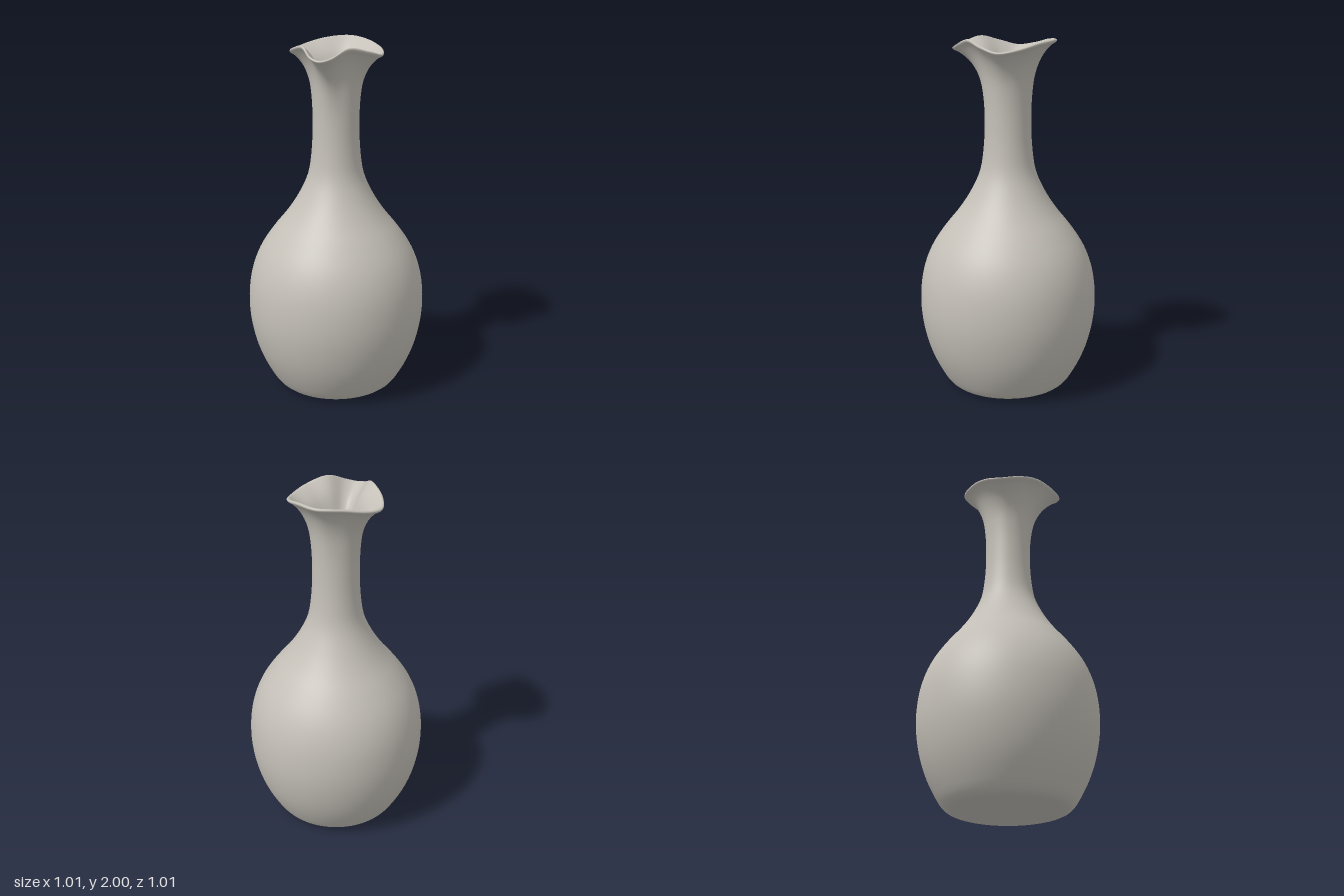
import * as THREE from 'three';
import { mergeVertices } from 'three/addons/utils/BufferGeometryUtils.js';

const SEGMENTS = 98;
const ROWS = 150;
const RIM_RADIUS = 0.26;

// Closed wall profile [radius, y]: underside, outer wall, lip, inner wall, inner floor
const PROFILE = [
  [0, 0], [0.15, 0], [0.29, 0], [0.345, 0.02], [0.4, 0.1], [0.455, 0.22], [0.49, 0.35], [0.505, 0.48],
  [0.498, 0.62], [0.473, 0.73], [0.43, 0.83], [0.36, 0.935], [0.28, 1.035], [0.212, 1.14],
  [0.158, 1.26], [0.136, 1.4], [0.13, 1.55], [0.134, 1.68], [0.15, 1.79], [0.185, 1.87],
  [0.23, 1.92], [0.258, 1.937], [0.26, 1.945], [0.252, 1.95], [0.238, 1.943],
  [0.17, 1.885], [0.128, 1.8], [0.109, 1.68], [0.103, 1.55], [0.108, 1.4], [0.132, 1.26],
  [0.188, 1.14], [0.256, 1.035], [0.335, 0.935], [0.405, 0.83], [0.448, 0.73], [0.473, 0.62],
  [0.48, 0.48], [0.465, 0.35], [0.43, 0.22], [0.37, 0.1], [0.3, 0.04], [0.15, 0.03], [0, 0.03],
];

// Half of the rim, front to back: [angle in degrees, radius, height offset]
const RIM = [
  [0, 0.315, -0.005], [11, 0.298, 0.008], [33, 0.24, 0.05], [65, 0.243, 0.022],
  [90, 0.26, -0.005], [116, 0.256, 0.012], [148, 0.244, 0.04], [180, 0.27, 0.05],
];

// Closed, mirrored curve through the rim points
function rimCurve() {
  const half = RIM.map(([a, r, h]) => {
    const t = THREE.MathUtils.degToRad(a);
    return new THREE.Vector3(r * Math.sin(t), h, r * Math.cos(t));
  });
  const mirrored = half.slice(1, -1).reverse().map((p) => new THREE.Vector3(-p.x, p.y, p.z));
  return new THREE.CatmullRomCurve3([...half, ...mirrored], true);
}

function vesselGeometry() {
  const curve = new THREE.CatmullRomCurve3(PROFILE.map(([r, y]) => new THREE.Vector3(r, y, 0)));
  const points = curve.getPoints(ROWS).map((p) => new THREE.Vector2(Math.max(p.x, 0), Math.max(p.y, 0)));
  let geometry = new THREE.LatheGeometry(points, SEGMENTS);
  const position = geometry.attributes.position;
  const rim = rimCurve();

  // Pull the flared top toward the pinched, wavy rim
  for (let i = 0; i <= SEGMENTS; i++) {
    const target = rim.getPoint((i % SEGMENTS) / SEGMENTS);
    const angle = Math.atan2(target.x, target.z);
    const stretch = Math.hypot(target.x, target.z) / RIM_RADIUS - 1;
    points.forEach((p, j) => {
      const t = THREE.MathUtils.clamp((p.y - 1.5) / 0.445, 0, 1) ** 2;
      const r = p.x * (1 + t * stretch);
      position.setXYZ(i * points.length + j, r * Math.sin(angle), p.y + t * target.y, r * Math.cos(angle));
    });
  }

  // Weld the seam so shading stays smooth
  geometry.deleteAttribute('uv');
  geometry.deleteAttribute('normal');
  geometry = mergeVertices(geometry, 1e-5);
  geometry.computeVertexNormals();
  return geometry;
}

export function createModel() {
  const group = new THREE.Group();
  group.name = 'carafe';
  const clay = new THREE.MeshStandardMaterial({ color: 0xc4c0b8, side: THREE.DoubleSide });
  clay.name = 'warm grey clay';
  const vessel = new THREE.Mesh(vesselGeometry(), clay);
  vessel.name = 'vessel';
  group.add(vessel);
  return group;
}
